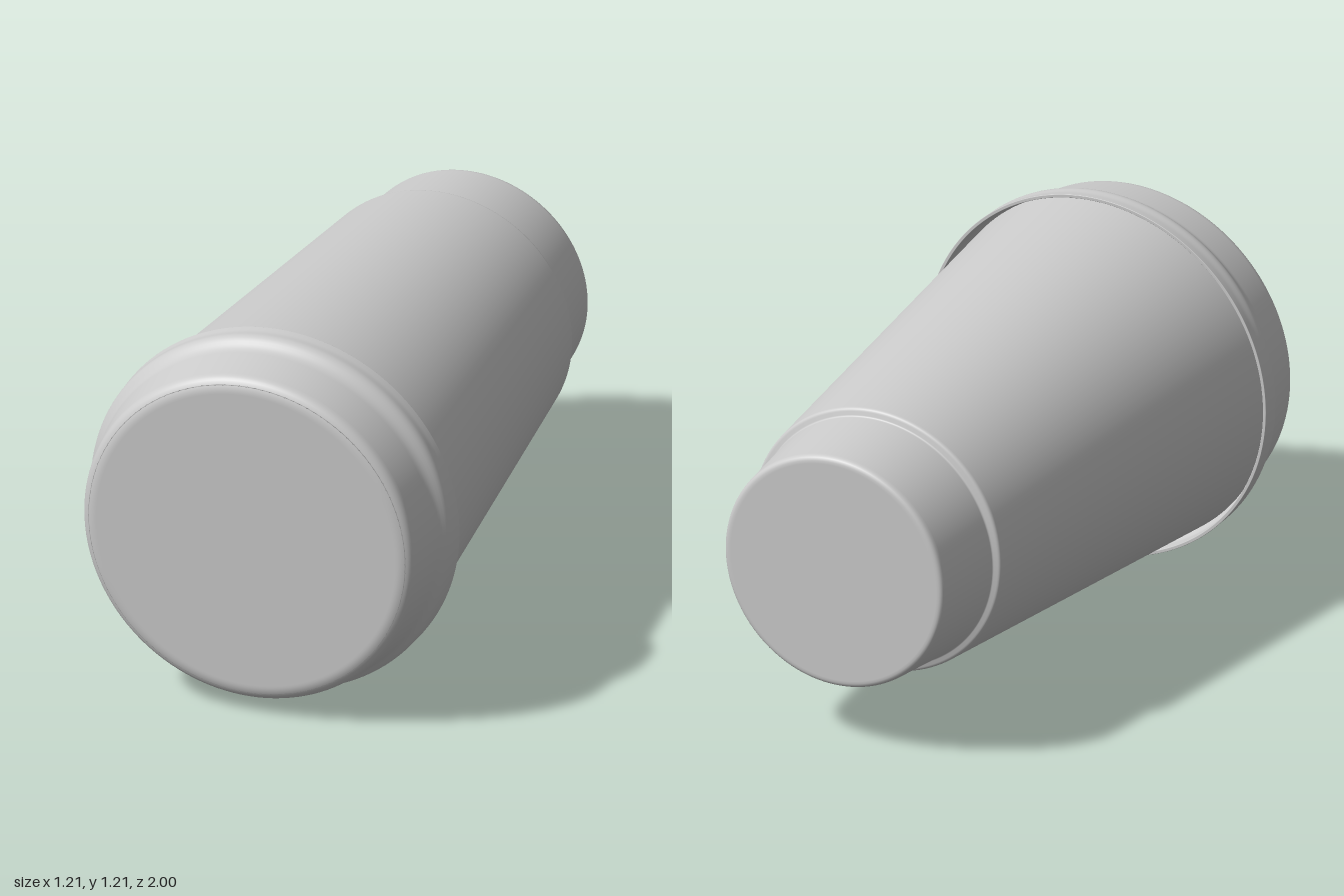
import * as THREE from 'three';

const AXIS_Y = 0.605;
const material = new THREE.MeshStandardMaterial({ color: 0xcccccc });

// Rounds the corners of a [z, radius, fillet] profile, with holding points that keep flats flat.
function roundedProfile(corners, steps = 6) {
  const points = corners.map(([z, r]) => new THREE.Vector2(r, z));
  const out = [points[0]];
  for (let i = 1; i < points.length - 1; i++) {
    const p = points[i];
    const fillet = corners[i][2];
    const toPrev = points[i - 1].clone().sub(p).normalize();
    const toNext = points[i + 1].clone().sub(p).normalize();
    const at = (dir, d) => p.clone().addScaledVector(dir, d);
    const hold = fillet * 1.15;
    const curve = new THREE.QuadraticBezierCurve(at(toPrev, fillet), p, at(toNext, fillet));
    out.push(at(toPrev, hold), ...curve.getPoints(steps), at(toNext, hold));
  }
  out.push(points[points.length - 1]);
  return out;
}

// Turns a profile around the z axis, running from the back (-z) to the front (+z).
function turned(name, corners) {
  const geometry = new THREE.LatheGeometry(roundedProfile(corners), 128);
  geometry.rotateX(Math.PI / 2);
  const mesh = new THREE.Mesh(geometry, material);
  mesh.name = name;
  mesh.position.y = AXIS_Y;
  return mesh;
}

export function createModel() {
  const group = new THREE.Group();
  group.name = 'liddedCup';

  // Tapered cup lying on its side, with a narrower stepped base
  group.add(turned('cupBody', [
    [-1, 0],
    [-1, 0.388, 0.02],
    [-0.724, 0.415, 0.005],
    [-0.716, 0.441, 0.009],
    [0.8, 0.582, 0.004],
    [0.8, 0.55],
  ]));

  // Lid: inner skirt, rim, rounded bead, waist and flat front
  group.add(turned('lid', [
    [0.8, 0.57],
    [0.765, 0.592, 0.01],
    [0.715, 0.594, 0.002],
    [0.715, 0.605, 0.002],
    [0.745, 0.602, 0.008],
    [0.783, 0.604, 0.017],
    [0.822, 0.574, 0.016],
    [0.985, 0.55, 0.022],
    [1, 0.515, 0.014],
    [1, 0],
  ]));

  return group;
}
